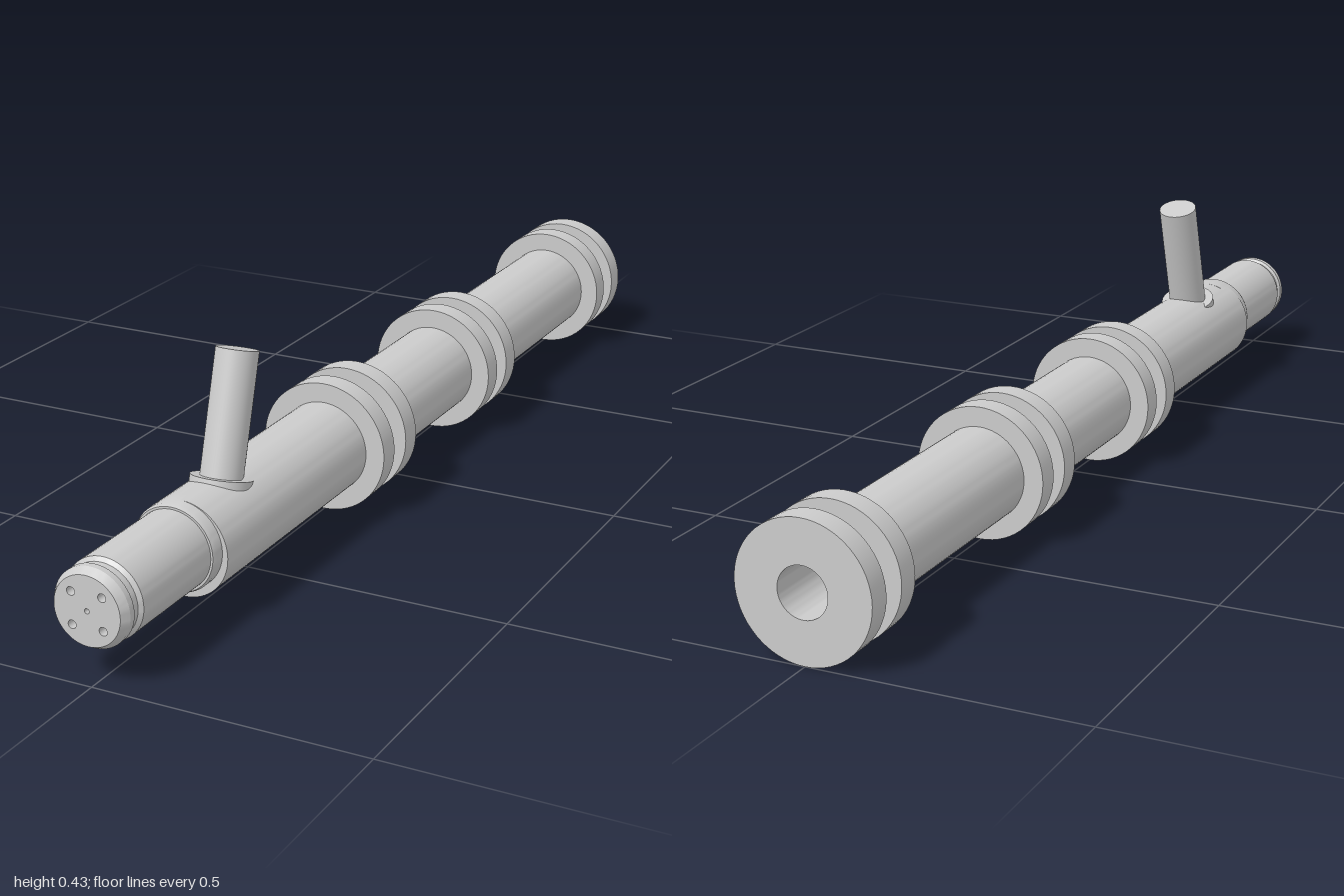
import * as THREE from 'three';
import { toCreasedNormals } from 'three/addons/utils/BufferGeometryUtils.js';

const material = new THREE.MeshStandardMaterial({ color: 0xcccccc });
const BODY_Y = 0.125, BARREL_Y = 0.133, BARREL_X = -0.002;

function part(name, geometry, parent) {
  const mesh = new THREE.Mesh(geometry, material);
  mesh.name = name;
  parent.add(mesh);
  return mesh;
}

// Turned part along z from [radius, z] pairs
function turned(profile) {
  const points = profile.map(([r, z]) => new THREE.Vector2(r, z));
  const geometry = new THREE.LatheGeometry(points, 64).rotateX(Math.PI / 2);
  return toCreasedNormals(geometry, 0.5);
}

export function createModel() {
  const model = new THREE.Group();
  model.name = 'flangedTube';

  // Main tube, bored from the back
  const body = part('body', turned([
    [0, 0.6], [0.046, 0.6], [0.046, -1], [0.088, -1], [0.088, 0.717], [0, 0.717],
  ]), model);
  body.position.y = BODY_Y;

  // Three pairs of flanges
  const flanges = new THREE.Group();
  flanges.name = 'flanges';
  flanges.position.y = BODY_Y;
  model.add(flanges);
  for (const z of [0.166, 0.074, -0.308, -0.398, -0.908, -1]) {
    part('flange', turned([
      [0.088, z + 0.044], [0.088, z], [0.125, z], [0.125, z + 0.044], [0.088, z + 0.044],
    ]), flanges);
  }

  // Stepped collar and narrow barrel with a groove near its tip
  const barrel = new THREE.Group();
  barrel.name = 'barrel';
  barrel.position.set(BARREL_X, BARREL_Y, 0);
  model.add(barrel);
  part('collar', turned([[0, 0.69], [0.08, 0.69], [0.08, 0.735], [0.077, 0.743], [0, 0.743]]), barrel);
  part('barrelTube', turned([
    [0.073, 0.72], [0.073, 0.949], [0.066, 0.955], [0.066, 0.968], [0.071, 0.973],
    [0.071, 0.985], [0.062, 1],
  ]), barrel);

  // Front plate with four pin holes and a small centre hole
  const plate = new THREE.Shape().absarc(0, 0, 0.062, 0, Math.PI * 2);
  const holes = [[0, 0, 0.0045]];
  for (const x of [-0.029, 0.029]) for (const y of [-0.029, 0.029]) holes.push([x, y, 0.0075]);
  for (const [x, y, r] of holes) plate.holes.push(new THREE.Path().absarc(x, y, r, 0, Math.PI * 2, true));
  const plateGeometry = new THREE.ExtrudeGeometry(plate, { depth: 0.02, bevelEnabled: false, curveSegments: 32 });
  part('frontPlate', plateGeometry, barrel).position.z = 0.98;
  part('holeFloor', new THREE.CircleGeometry(0.062, 48), barrel).position.z = 0.981;

  // Slanted side pipe with a seating ring sunk into the tube
  const sidePipe = new THREE.Group();
  sidePipe.name = 'sidePipe';
  sidePipe.position.set(0, 0.205, 0.583);
  sidePipe.rotation.x = -0.29;
  model.add(sidePipe);
  part('pipe', new THREE.CylinderGeometry(0.038, 0.038, 0.27, 48), sidePipe).position.y = 0.087;
  part('seatRing', new THREE.CylinderGeometry(0.055, 0.055, 0.04, 48), sidePipe).position.y = -0.02;

  return model;
}
